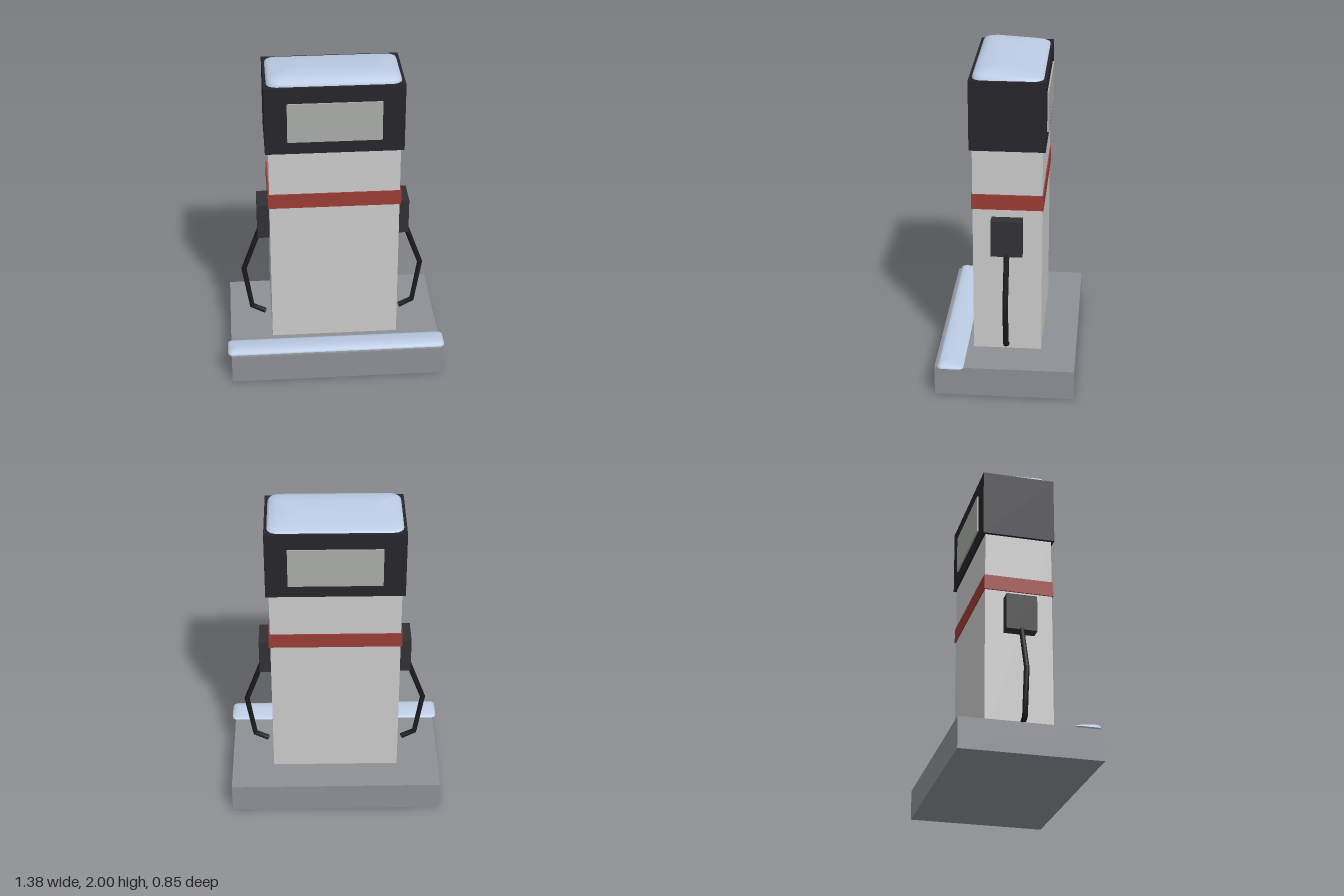
import * as THREE from 'three';
import { toCreasedNormals } from 'three/addons/utils/BufferGeometryUtils.js';

const paint = (color) => new THREE.MeshStandardMaterial({ color });
const casing = paint(0xcccccc);
const concrete = paint(0x8d9096);
const black = paint(0x26252b);
const rubber = paint(0x1c1c1c);
const holsterPaint = paint(0x313134);
const red = paint(0x9a3c36);
const glass = paint(0xaaaca8);
const snow = paint(0xbccce4);

function add(parent, name, geometry, material, x = 0, y = 0, z = 0) {
  const mesh = new THREE.Mesh(geometry, material);
  mesh.name = name;
  mesh.position.set(x, y, z);
  parent.add(mesh);
  return mesh;
}

// Box given by its width, depth and vertical range
function box(parent, name, w, d, y0, y1, material, x = 0, z = 0) {
  return add(parent, name, new THREE.BoxGeometry(w, y1 - y0, d), material, x, (y0 + y1) / 2, z);
}

// Snow pillow: rounded rectangles stacked into a dome that thins out to the back
function snowGeometry(w, d, height, radius) {
  const rings = [[1, 0], [0, 0], [0.02, 0.35], [0.08, 0.6], [0.25, 0.84], [0.55, 0.96], [1, 1]];
  const steps = 4;
  const n = 4 * (steps + 1);
  const positions = [];
  const index = [];
  for (const [inset, rise] of rings) {
    const r = radius * (1 - inset);
    const hw = w - inset * d - r;
    const hd = d - inset * d - r;
    for (let corner = 0; corner < 4; corner++) {
      const sx = corner === 0 || corner === 3 ? 1 : -1;
      const sz = corner < 2 ? 1 : -1;
      for (let k = 0; k <= steps; k++) {
        const a = (corner + k / steps) * Math.PI / 2;
        const x = sx * hw + r * Math.cos(a);
        const z = sz * hd + r * Math.sin(a);
        const slope = 1 - 0.45 * Math.max(0, 0.4 - z / d);
        positions.push(x, height * rise * slope, z);
      }
    }
  }
  for (let j = 0; j < rings.length - 1; j++) {
    for (let i = 0; i < n; i++) {
      const a = j * n + i;
      const b = j * n + (i + 1) % n;
      index.push(a, a + n, b, b, a + n, b + n);
    }
  }
  const geometry = new THREE.BufferGeometry();
  geometry.setAttribute('position', new THREE.Float32BufferAttribute(positions, 3));
  geometry.setIndex(index);
  return toCreasedNormals(geometry, 1.0);
}

// Polyline path whose joints are mitred when swept by a tube
class KinkedPath extends THREE.Curve {
  constructor(points) {
    super();
    this.points = points;
  }
  getPointAt(u) {
    return this.points[Math.round(u * (this.points.length - 1))].clone();
  }
  getTangentAt(u) {
    const p = this.points;
    const i = Math.round(u * (p.length - 1));
    const tangent = new THREE.Vector3();
    if (i > 0) tangent.add(p[i].clone().sub(p[i - 1]).normalize());
    if (i < p.length - 1) tangent.add(p[i + 1].clone().sub(p[i]).normalize());
    return tangent.normalize();
  }
}

// Holster with its hanging hose, on the side given by the sign of s
function dispenser(s) {
  const group = new THREE.Group();
  group.name = s > 0 ? 'leftDispenser' : 'rightDispenser';
  box(group, 'holster', 0.075, 0.19, 0.86, 1.09, holsterPaint, s * 0.4365);

  const points = [[0.46, 0.87], [0.567, 0.575], [0.522, 0.287], [0.438, 0.243]]
    .map(([x, y]) => new THREE.Vector3(s * x, y, 0));
  const hose = new THREE.TubeGeometry(new KinkedPath(points), 3, 0.017, 8);
  add(group, 'hose', toCreasedNormals(hose, 0.9), rubber);

  const end = points[3];
  const cap = add(group, 'hoseEnd', new THREE.CircleGeometry(0.017, 8), rubber, end.x, end.y, 0);
  cap.lookAt(end.clone().multiplyScalar(2).sub(points[2]));
  return group;
}

export function createModel() {
  const model = new THREE.Group();
  model.name = 'fuelPump';

  // Plinth and cabinet
  box(model, 'plinth', 1.33, 0.854, 0, 0.19, concrete);
  box(model, 'cabinet', 0.796, 0.42, 0.19, 1.52, casing);
  box(model, 'stripe', 0.814, 0.434, 1.14, 1.235, red);

  // Display head with a screen on both faces
  box(model, 'displayHead', 0.834, 0.454, 1.52, 1.95, black);
  for (const s of [1, -1]) {
    box(model, s > 0 ? 'frontScreen' : 'backScreen', 0.566, 0.02, 1.6, 1.85, glass, 0, s * 0.227);
    model.add(dispenser(s));
  }

  // Snow on the roof and along the front edge of the plinth
  add(model, 'roofSnow', snowGeometry(0.4, 0.21, 0.05, 0.06), snow, 0, 1.95, 0);
  add(model, 'plinthSnow', snowGeometry(0.688, 0.081, 0.03, 0.03), snow, 0, 0.19, 0.33);
  return model;
}
